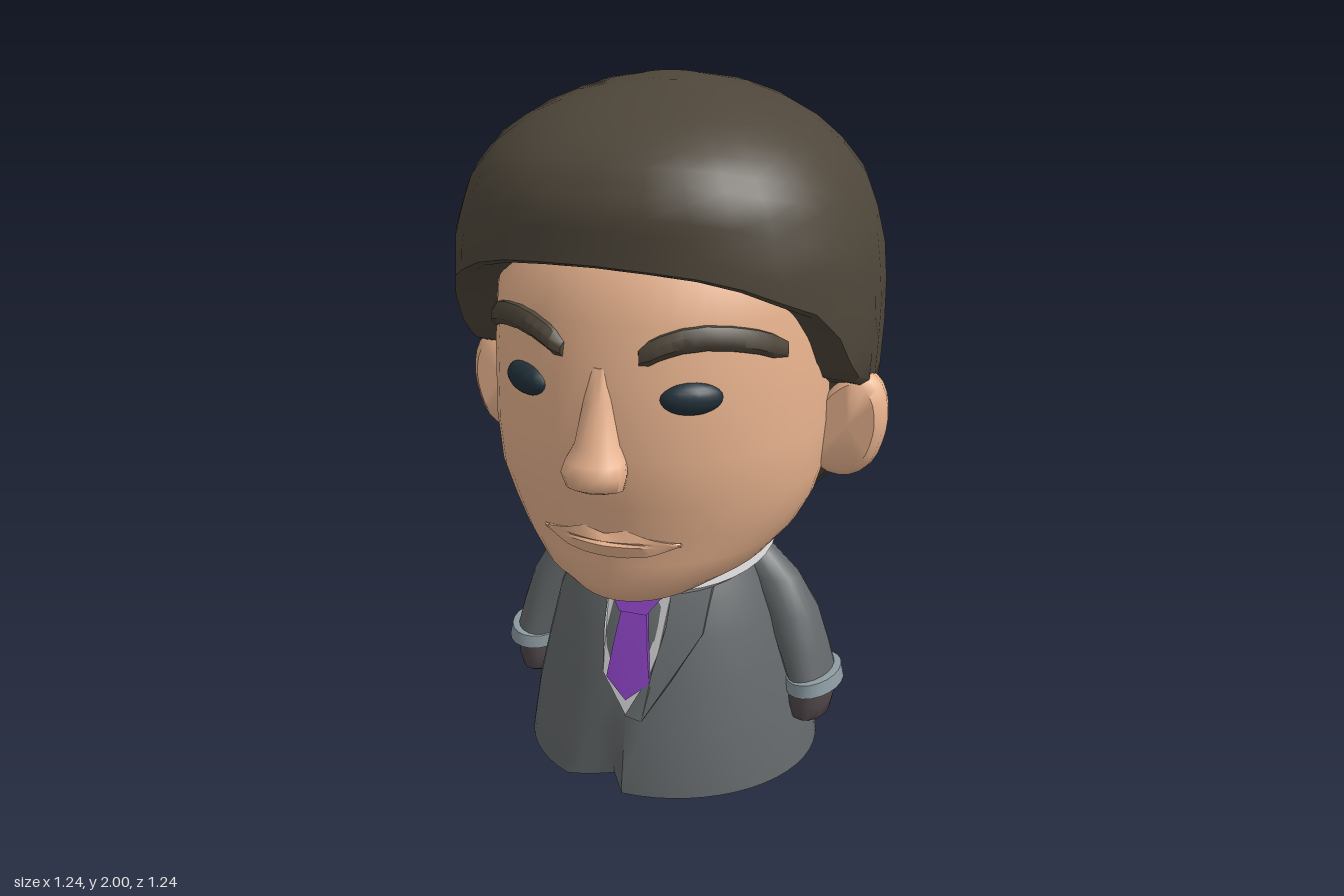
import * as THREE from 'three';
import { toCreasedNormals } from 'three/addons/utils/BufferGeometryUtils.js';

const SKIN = 0xebb590, HAIR = 0x4e463a, SUIT = 0x64686a, DARK = 0x45494b;

// Skin a list of equal-length rings into a closed surface with end caps.
function loft(rings) {
  const n = rings[0].length, m = rings.length, pos = [], idx = [];
  rings.forEach(r => r.forEach(p => pos.push(...p)));
  for (let i = 0; i < m - 1; i++) for (let j = 0; j < n; j++) {
    const a = i * n + j, b = i * n + (j + 1) % n;
    idx.push(a, b, b + n, a, b + n, a + n);
  }
  [0, m - 1].forEach((r, end) => {
    const c = [0, 1, 2].map(k => rings[r].reduce((s, p) => s + p[k] / n, 0));
    const ci = pos.length / 3;
    pos.push(...c);
    for (let j = 0; j < n; j++) {
      const a = r * n + j, b = r * n + (j + 1) % n;
      if (end) idx.push(ci, a, b); else idx.push(ci, b, a);
    }
  });
  const g = new THREE.BufferGeometry();
  g.setAttribute('position', new THREE.Float32BufferAttribute(pos, 3));
  g.setIndex(idx);
  return g;
}

// Horizontal ellipse that may tilt: front/back heights, half width, front/back z, x offset.
function ring([yf, yb, w, f, b, cx = 0], n) {
  return Array.from({ length: n }, (_, j) => {
    const a = j / n * Math.PI * 2, c = Math.cos(a);
    return [cx + w * Math.sin(a), yb + (yf - yb) * (c + 1) / 2, (f + b) / 2 + (f - b) / 2 * c];
  });
}
const stack = (rows, n = 40) => loft(rows.map(r => ring(r, n)));

// Linear lookup in rows sorted by their first column.
function lookup(rows, t, k = 1) {
  if (t <= rows[0][0]) return rows[0][k];
  for (let i = 1; i < rows.length; i++) if (t <= rows[i][0]) {
    const a = rows[i - 1], b = rows[i];
    return a[k] + (b[k] - a[k]) * (t - a[0]) / (b[0] - a[0]);
  }
  return rows[rows.length - 1][k];
}

function flipX(g) {
  const m = g.clone().scale(-1, 1, 1);
  m.index.array.reverse();
  return m;
}

export function createModel() {
  const model = new THREE.Group();
  const add = (name, g, color, crease = 0.75) => {
    const mesh = new THREE.Mesh(toCreasedNormals(g, crease),
      new THREE.MeshStandardMaterial({ color, side: THREE.DoubleSide }));
    mesh.name = name;
    model.add(mesh);
  };
  const pair = (name, g, color, crease) => {
    add(name + 'Left', g, color, crease);
    add(name + 'Right', flipX(g), color, crease);
  };

  // Base and bell-shaped jacket, with the left panel overlapping at the hem
  add('base', new THREE.CylinderGeometry(0.3, 0.28, 0.05, 40).translate(0, 0.025, 0), DARK);
  const body = stack([
    [0.012, 0.012, 0.33, 0.32, -0.33], [0.02, 0.025, 0.4, 0.38, -0.4], [0.03, 0.04, 0.43, 0.403, -0.43],
    [0.07, 0.07, 0.425, 0.4, -0.428],
    [0.2, 0.2, 0.405, 0.38, -0.405], [0.36, 0.36, 0.37, 0.345, -0.37], [0.48, 0.52, 0.335, 0.315, -0.32],
    [0.57, 0.65, 0.29, 0.285, -0.25], [0.62, 0.74, 0.25, 0.26, -0.18]], 56);
  const bp = body.attributes.position;
  for (let i = 0; i < bp.count; i++) {
    const x = bp.getX(i), y = bp.getY(i), z = bp.getZ(i);
    if (z > 0.2 && y < 0.3 && x < -0.01 && x > -0.19) {
      const k = (1 + x / 0.19) * (1 - y / 0.3);
      bp.setZ(i, z - 0.09 * k);
      if (y < 0.05) bp.setY(i, y + 0.03 * k);
    }
  }
  add('jacket', body, SUIT);

  // Panels bent over the chest
  const chest = [[0.2, 0.38, 0.405], [0.36, 0.345, 0.37], [0.48, 0.317, 0.335], [0.57, 0.285, 0.3], [0.64, 0.265, 0.28]];
  const panel = (name, pts, lift, color) => {
    const g = new THREE.ExtrudeGeometry(new THREE.Shape(pts.map(p => new THREE.Vector2(...p))),
      { depth: 0.025, bevelEnabled: false });
    const p = g.attributes.position;
    for (let i = 0; i < p.count; i++) {
      const x = p.getX(i), y = p.getY(i);
      const front = lookup(chest, y) * Math.sqrt(1 - (x / lookup(chest, y, 2)) ** 2);
      p.setZ(i, front + lift + p.getZ(i) - 0.025);
    }
    g.computeVertexNormals();
    add(name, g, color, 0.4);
  };
  panel('shirtFront', [[-0.09, 0.64], [-0.09, 0.5], [-0.08, 0.37], [0, 0.265], [0.05, 0.35], [0.08, 0.45], [0.1, 0.64]], 0.004, 0xc4c4c4);
  panel('lapel', [[0.1, 0.64], [0.095, 0.52], [0.07, 0.4], [0, 0.265], [0.05, 0.255], [0.12, 0.37], [0.19, 0.5], [0.2, 0.65]], 0.01, SUIT);
  panel('tieBlade', [[-0.035, 0.58], [-0.05, 0.47], [-0.065, 0.365], [0, 0.31], [0.065, 0.365], [0.05, 0.47], [0.035, 0.58]], 0.012, 0x8a42c0);
  panel('tieKnot', [[-0.085, 0.64], [-0.075, 0.6], [-0.04, 0.555], [0.04, 0.555], [0.075, 0.6], [0.085, 0.64]], 0.022, 0x8a42c0);

  // Tilted shirt collar, flaring to the back, and neck
  add('collar', stack([[0.6, 0.72, 0.2, 0.23, -0.17], [0.605, 0.745, 0.285, 0.28, -0.235],
    [0.62, 0.768, 0.31, 0.29, -0.255], [0.63, 0.78, 0.27, 0.265, -0.23]]), 0xc4c4c4);
  add('neck', stack([[0.62, 0.7, 0.2, 0.22, -0.16], [0.72, 0.84, 0.25, 0.24, -0.24]]), SKIN);

  // Sleeves, cuffs and hands
  pair('sleeve', stack([
    [0.3, 0.3, 0.066, 0.105, -0.11, 0.433], [0.4, 0.4, 0.074, 0.095, -0.1, 0.4],
    [0.5, 0.5, 0.08, 0.08, -0.09, 0.362], [0.6, 0.6, 0.08, 0.062, -0.07, 0.305],
    [0.67, 0.67, 0.065, 0.05, -0.055, 0.25], [0.72, 0.72, 0.03, 0.025, -0.03, 0.215]], 20), SUIT);
  const cuff = stack([[0.275, 0.275, 0.07, 0.11, -0.115], [0.27, 0.27, 0.08, 0.118, -0.123],
    [0.31, 0.31, 0.077, 0.115, -0.12], [0.315, 0.315, 0.06, 0.1, -0.1]], 20);
  cuff.translate(0, -0.29, 0).rotateZ(0.14).translate(0.44, 0.293, 0);
  pair('cuff', cuff, 0x8c9aa1);
  pair('hand', stack([[0.17, 0.17, 0.035, 0.06, -0.065, 0.43], [0.185, 0.185, 0.055, 0.085, -0.09, 0.43],
    [0.23, 0.23, 0.065, 0.097, -0.1, 0.43], [0.29, 0.29, 0.06, 0.09, -0.095, 0.43]], 16), 0x50464a);

  // Head, with the jaw sloping back to the nape under the hair
  add('head', stack([
    [0.635, 0.77, 0.19, 0.4, -0.25], [0.65, 0.775, 0.26, 0.43, -0.31], [0.7, 0.8, 0.335, 0.465, -0.34],
    [0.78, 0.84, 0.39, 0.475, -0.35], [0.86, 0.9, 0.428, 0.485, -0.36], [0.96, 0.96, 0.453, 0.515, -0.37],
    [1.1, 1.1, 0.465, 0.535, -0.4], [1.3, 1.3, 0.465, 0.527, -0.4], [1.45, 1.45, 0.46, 0.505, -0.4],
    [1.6, 1.6, 0.44, 0.47, -0.38], [1.75, 1.75, 0.28, 0.3, -0.25]], 48), SKIN, 0.9);
  add('nose', stack([
    [1.02, 1.01, 0.05, 0.585, 0.48], [1.035, 1.02, 0.078, 0.612, 0.49], [1.07, 1.07, 0.09, 0.622, 0.49],
    [1.1, 1.1, 0.082, 0.608, 0.48], [1.14, 1.14, 0.062, 0.583, 0.47], [1.25, 1.25, 0.042, 0.556, 0.47],
    [1.34, 1.34, 0.025, 0.525, 0.47]], 16), SKIN, 0.9);

  const faceZ = (x, f = 0.51, w = 0.46) => (f - 0.4) / 2 + (f + 0.4) / 2 * Math.sqrt(Math.max(0, 1 - (x / w) ** 2));

  // Lips: sections running across the mouth
  const lip = [[0, 0.875, 0.805], [0.06, 0.89, 0.807], [0.12, 0.868, 0.815], [0.195, 0.852, 0.844]];
  const lipRings = [];
  for (let i = -10; i <= 10; i++) {
    const x = i * 0.0195, top = lookup(lip, Math.abs(x)), low = lookup(lip, Math.abs(x), 2);
    const z = faceZ(x, 0.484, 0.43), k = 1 - Math.abs(i) / 14;
    lipRings.push([[x, top, z + 0.012], [x, 0.856, z + 0.024 * k], [x, 0.849, z + 0.01],
      [x, 0.842, z + 0.02 * k], [x, low, z + 0.003], [x, 0.848, z - 0.04]]);
  }
  add('lips', loft(lipRings), SKIN, 0.5);

  // Eyes and brows
  pair('eye', new THREE.SphereGeometry(1, 18, 12).scale(0.083, 0.045, 0.04)
    .rotateY(0.55).translate(0.228, 1.268, 0.455), 0x22313b, 1);
  const browLine = [[0.1, 1.372], [0.15, 1.4], [0.2, 1.418], [0.26, 1.424], [0.32, 1.415], [0.37, 1.395], [0.415, 1.36]];
  const browRings = [];
  for (let i = 0; i <= 12; i++) {
    const x = 0.1 + 0.315 * i / 12, r = i % 12 ? 0.034 : 0.022, z = faceZ(x) - 0.002;
    browRings.push(Array.from({ length: 8 }, (_, j) => {
      const a = (j + 0.5) / 8 * Math.PI * 2;
      return [x + Math.sin(a) * r * 0.4, lookup(browLine, x) + r * Math.cos(a), z + r * 0.8 * Math.sin(a)];
    }));
  }
  pair('eyebrow', loft(browRings), HAIR);

  // Ears: outline stacked through the thickness
  const earOutline = new THREE.CatmullRomCurve3([[0.44, 0.95], [0.51, 0.932], [0.575, 0.965], [0.61, 1.04],
    [0.62, 1.12], [0.6, 1.2], [0.55, 1.238], [0.5, 1.215], [0.45, 1.16], [0.43, 1.05]]
    .map(p => new THREE.Vector3(p[0], p[1], 0)), true).getPoints(24).slice(0, 24);
  pair('ear', loft([[-0.085, 0.72], [-0.065, 0.92], [-0.02, 1], [0.02, 0.97], [0.042, 0.82]].map(([z, s]) =>
    earOutline.map(p => [0.5 + (p.x - 0.5) * s, 1.09 + (p.y - 1.09) * s, z]))), SKIN, 0.8);

  // Hair: columns from the hairline (by angle from the front) up to the crown
  const hairline = [[0, 1.6], [20, 1.59], [36, 1.55], [59, 1.46], [68, 1.38], [75, 1.29], [81, 1.235], [89, 1.2],
    [94, 0.95], [106, 0.785], [180, 0.775]];
  const shell = [[0.78, 0.36, 0.4, 0.41], [0.88, 0.45, 0.45, 0.49], [1.03, 0.55, 0.5, 0.605], [1.2, 0.578, 0.52, 0.615],
    [1.4, 0.59, 0.53, 0.62], [1.6, 0.575, 0.535, 0.6], [1.75, 0.52, 0.53, 0.54], [1.85, 0.44, 0.475, 0.45],
    [1.92, 0.34, 0.37, 0.36], [1.97, 0.22, 0.23, 0.23], [2, 0.08, 0.08, 0.08]];
  const half = [0, 12, 24, 36, 48, 59, 68, 75, 81, 89, 94, 106, 118, 132, 148, 164];
  const angles = [...half, 180, ...half.slice(1).reverse().map(a => 360 - a)];
  const hairRing = (t, s = 1) => angles.map(deg => {
    const base = lookup(hairline, deg > 180 ? 360 - deg : deg);
    const y = base + (2 - base) * Math.sin(t * Math.PI / 2), a = deg * Math.PI / 180, front = Math.cos(a) > 0;
    const square = v => Math.sign(v) * Math.abs(v) ** (front ? 0.87 : 0.95);
    return [s * lookup(shell, y) * square(Math.sin(a)) - 0.006, y, s * lookup(shell, y, front ? 2 : 3) * square(Math.cos(a))];
  });
  const hairRings = [hairRing(0, 0.3), hairRing(0, 0.75), hairRing(0, 0.97)];
  for (let i = 0; i <= 14; i++) hairRings.push(hairRing(0.015 + 0.985 * i / 14));
  add('hair', loft(hairRings), HAIR, 0.8);

  return model;
}
